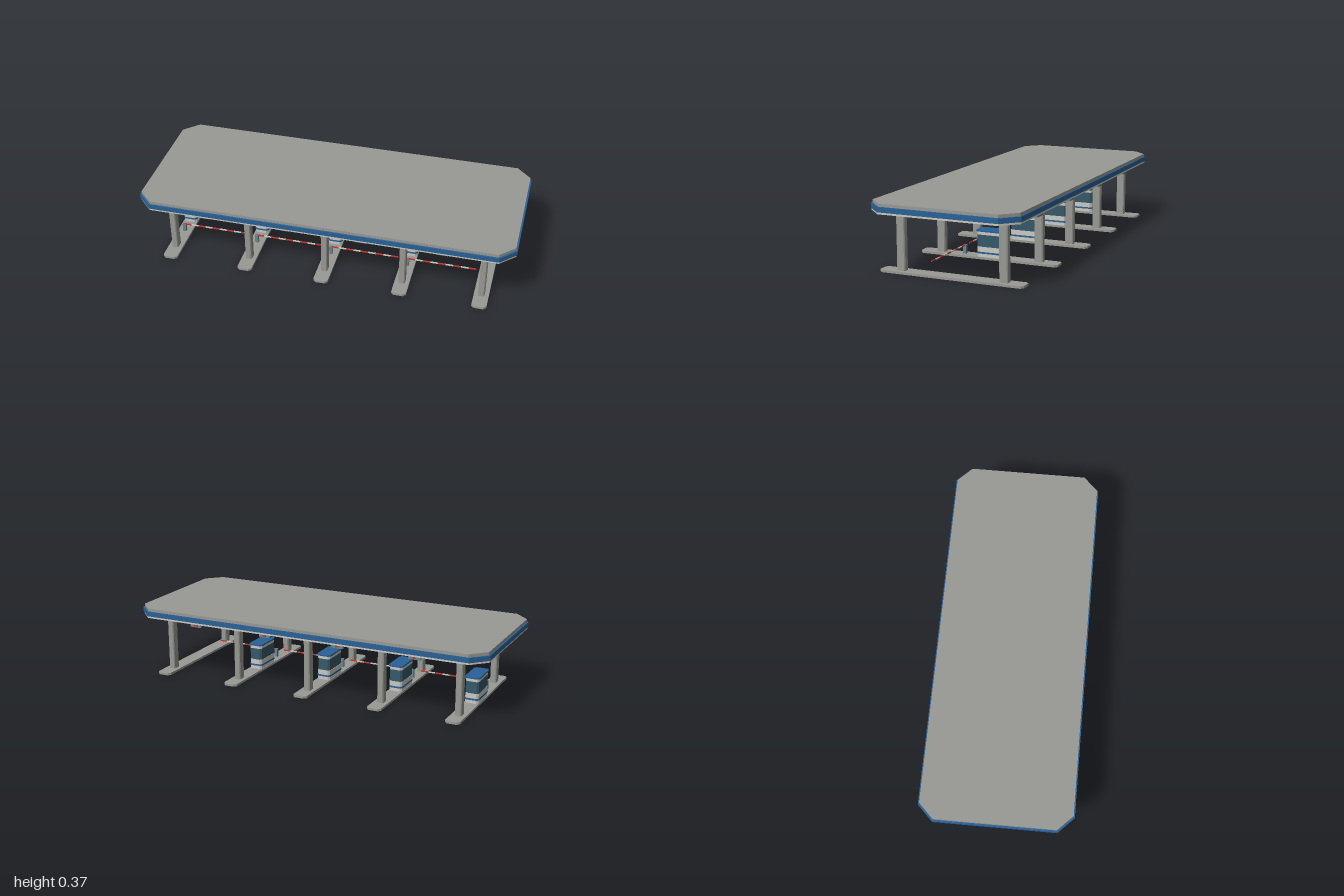
import * as THREE from 'three';

const paint = (name, color) => {
  const m = new THREE.MeshStandardMaterial({ color });
  m.name = name;
  return m;
};

export function createModel() {
  const model = new THREE.Group();
  model.name = 'tollPlaza';
  const grey = paint('concreteGrey', 0x999a94);
  const light = paint('lightPanel', 0xcbcbc3);
  const blue = paint('blueTrim', 0x2a6298);
  const glass = paint('darkGlass', 0x36596a);
  const steel = paint('blueSteel', 0x69858f);
  const red = paint('signalRed', 0xd0302c);

  const add = (parent, name, geometry, material, x, y, z) => {
    const mesh = new THREE.Mesh(geometry, material);
    mesh.name = name;
    mesh.position.set(x, y, z);
    parent.add(mesh);
  };
  const box = (parent, name, material, w, h, d, x, y, z) =>
    add(parent, name, new THREE.BoxGeometry(w, h, d), material, x, y, z);

  // Upright slab with cut corners, from y0 to y1; hx and hz are half sizes
  const slab = (parent, name, material, hx, hz, cut, y0, y1, x = 0, z = 0) => {
    const shape = new THREE.Shape([
      [hx - cut, -hz], [hx, cut - hz], [hx, hz - cut], [hx - cut, hz],
      [cut - hx, hz], [-hx, hz - cut], [-hx, cut - hz], [cut - hx, -hz],
    ].map(([a, b]) => new THREE.Vector2(a, b)));
    const geometry = new THREE.ExtrudeGeometry(shape, { depth: y1 - y0, bevelEnabled: false });
    geometry.rotateX(-Math.PI / 2);
    add(parent, name, geometry, material, x, y0, z);
  };

  // Canopy: light soffit, blue fascia, grey roof
  const canopy = new THREE.Group();
  canopy.name = 'canopy';
  model.add(canopy);
  slab(canopy, 'soffit', light, 0.997, 0.393, 0.078, 0.318, 0.328);
  slab(canopy, 'fascia', blue, 1, 0.396, 0.08, 0.328, 0.354);
  slab(canopy, 'roof', grey, 0.992, 0.389, 0.077, 0.354, 0.37);

  // Signals hang over each lane at both canopy edges
  for (const x of [-0.63, -0.21, 0.21, 0.63]) {
    for (const side of [-1, 1]) {
      box(canopy, 'signalHousing', steel, 0.064, 0.023, 0.014, x, 0.3065, side * 0.36);
      box(canopy, 'signalLamp', red, 0.02, 0.013, 0.002, x, 0.3065, side * 0.3675);
    }
  }

  for (let i = 0; i < 5; i++) {
    const x = -0.84 + i * 0.42;
    const island = new THREE.Group();
    island.name = 'island' + (i + 1);
    island.position.x = x;
    model.add(island);
    slab(island, 'islandBase', grey, 0.039, 0.385, 0.014, 0, 0.012);

    // Columns with capitals
    for (const z of [-0.275, 0.275]) {
      slab(island, 'column', grey, 0.017, 0.023, 0.005, 0.012, 0.302, 0, z);
      slab(island, 'capital', light, 0.024, 0.03, 0.006, 0.3, 0.319, 0, z);
    }
    if (i === 4) continue;

    // Booth
    const booth = new THREE.Group();
    booth.name = 'booth';
    booth.position.z = -0.02;
    island.add(booth);
    slab(booth, 'boothBase', light, 0.036, 0.079, 0.01, 0.012, 0.066);
    slab(booth, 'boothStripe', blue, 0.038, 0.081, 0.01, 0.03, 0.039);
    slab(booth, 'boothWindows', glass, 0.0355, 0.0785, 0.01, 0.066, 0.129);
    slab(booth, 'boothHeader', light, 0.036, 0.079, 0.01, 0.129, 0.145);
    slab(booth, 'boothRoof', blue, 0.04, 0.083, 0.012, 0.145, 0.153);

    // Striped barrier arm on its post
    box(island, 'barrierPost', steel, 0.018, 0.047, 0.016, 0, 0.0355, 0.142);
    const stripes = 9, length = 0.37 / stripes;
    for (let k = 0; k < stripes; k++) {
      box(island, 'barrierArm', k % 2 ? light : red, length, 0.006, 0.006,
        (k + 0.5) * length, 0.057, 0.142);
    }
  }
  return model;
}
